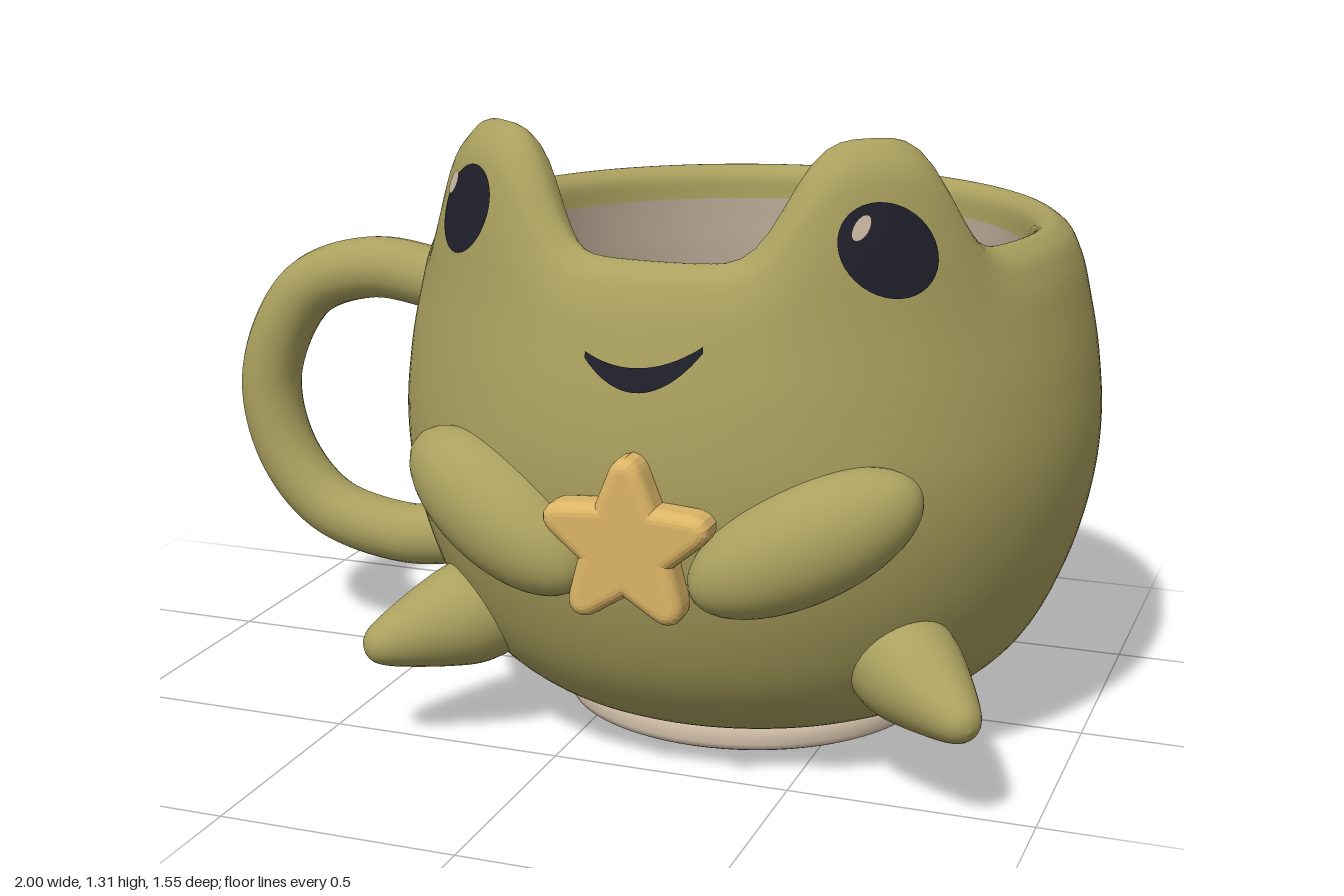
import * as THREE from 'three';

const CX = 0.25, CZ = -0.035;            // axis of the cup
const BUMP_ANGLE = 0.67, BUMP_H = 0.232; // eye bumps on the rim

const material = (name, color) => {
  const m = new THREE.MeshStandardMaterial({ color });
  m.name = name;
  return m;
};

// Height added to the rim at an angle measured from the front
function bumpHeight(theta) {
  const s = Math.abs(Math.abs(theta) - BUMP_ANGLE) * 0.62;
  return BUMP_H * Math.exp(-Math.pow(s / 0.185, 3.5));
}

// Profiles: radius, height, share of the bump height
const curve = (pts, n) =>
  new THREE.CatmullRomCurve3(pts.map(p => new THREE.Vector3(...p))).getPoints(n);
const outerRows = curve([
  [0.39, 0.05, 0], [0.5, 0.1, 0], [0.61, 0.2, 0], [0.69, 0.36, 0], [0.733, 0.52, 0],
  [0.745, 0.66, 0], [0.733, 0.8, 0], [0.71, 0.92, 0.15], [0.685, 1.01, 0.6],
  [0.655, 1.058, 0.9], [0.62, 1.075, 1], [0.592, 1.055, 0.95], [0.583, 1.0, 0.85]], 60);
const innerRows = curve([
  [0.583, 1.0, 0.85], [0.6, 0.9, 0.4], [0.63, 0.7, 0], [0.62, 0.5, 0], [0.56, 0.32, 0],
  [0.42, 0.2, 0], [0.2, 0.16, 0], [0.001, 0.155, 0]], 36);

// Radius and height of a profile row at an angle
function rowAt(row, theta) {
  const h = bumpHeight(theta);
  const thick = row.z * THREE.MathUtils.clamp((0.66 - row.x) / 0.07, 0, 1);
  return [row.x - 0.03 * thick * h / BUMP_H, row.y + h * row.z];
}

const polar = (r, y, theta) => [CX + r * Math.sin(theta), y, CZ + r * Math.cos(theta)];

// Closed surface around the axis from profile rows
function shell(rows, cols = 144) {
  const pos = [], idx = [];
  rows.forEach((row, i) => {
    for (let j = 0; j < cols; j++) {
      const theta = (j / cols) * Math.PI * 2 - Math.PI;
      pos.push(...polar(...rowAt(row, theta), theta));
      if (i === rows.length - 1) continue;
      const k = (j + 1) % cols, a = i * cols, b = a + cols;
      idx.push(a + j, a + k, b + k, a + j, b + k, b + j);
    }
  });
  const g = new THREE.BufferGeometry();
  g.setAttribute('position', new THREE.Float32BufferAttribute(pos, 3));
  g.setIndex(idx);
  g.computeVertexNormals();
  return g;
}

// Point just outside the outer wall
function onWall(theta, y, lift) {
  let prev = rowAt(outerRows[0], theta);
  for (const row of outerRows) {
    const cur = rowAt(row, theta);
    if (cur[1] >= y && cur[1] > prev[1]) {
      const t = (y - prev[1]) / (cur[1] - prev[1]);
      return polar(prev[0] + t * (cur[0] - prev[0]) + lift, y, theta);
    }
    prev = cur;
  }
  return polar(prev[0] + lift, y, theta);
}

// Lays a flat geometry on the wall; map turns (u, v) into [angle, height]
function decal(g, map, lift) {
  const p = g.attributes.position;
  for (let i = 0; i < p.count; i++) {
    const [theta, y] = map(p.getX(i), p.getY(i));
    p.setXYZ(i, ...onWall(theta, y, lift));
  }
  g.computeVertexNormals();
  return g;
}

// Five-pointed star with rounded tips
function starGeometry(R, r) {
  const at = (rad, i) => new THREE.Vector2(0, rad).rotateAround(new THREE.Vector2(), i * Math.PI / 5);
  const shape = new THREE.Shape();
  for (let i = 0; i < 10; i += 2) {
    const tip = at(R, i);
    const a = tip.clone().lerp(at(r, i - 1), 0.3), b = tip.clone().lerp(at(r, i + 1), 0.3);
    const inner = at(r, i + 1);
    if (i === 0) shape.moveTo(a.x, a.y); else shape.lineTo(a.x, a.y);
    shape.quadraticCurveTo(tip.x, tip.y, b.x, b.y);
    shape.lineTo(inner.x, inner.y);
  }
  shape.closePath();
  return new THREE.ExtrudeGeometry(shape, {
    depth: 0.035, bevelThickness: 0.025, bevelSize: 0.024, bevelSegments: 5, curveSegments: 8 });
}

export function createModel() {
  const model = new THREE.Group();
  const green = material('olive green glaze', 0xaaa05e);
  const cream = material('cream clay', 0xcdbba5);
  const gold = material('golden yellow', 0xdcb566);
  const dark = material('dark ink', 0x20202c);

  const add = (name, geometry, mat) => {
    const m = new THREE.Mesh(geometry, mat);
    m.name = name;
    model.add(m);
    return m;
  };

  // Cup
  add('cupBody', shell(outerRows), green);
  add('cupInterior', shell(innerRows), cream);
  const foot = [[0, 0], [0.385, 0], [0.397, 0.006], [0.402, 0.018], [0.402, 0.06], [0.3, 0.07]];
  add('footRing', new THREE.LatheGeometry(foot.map(p => new THREE.Vector2(...p)), 72), cream)
    .position.set(CX, 0, CZ);

  // Handle
  const path = [[-0.38, 0.84], [-0.5, 0.87], [-0.66, 0.886], [-0.83, 0.82], [-0.93, 0.62],
    [-0.9, 0.44], [-0.79, 0.31], [-0.6, 0.26], [-0.45, 0.275], [-0.34, 0.3]];
  const handlePath = new THREE.CatmullRomCurve3(path.map(([x, y]) => new THREE.Vector3(x, y, CZ)));
  add('handle', new THREE.TubeGeometry(handlePath, 72, 0.07, 20), green);

  // Limbs and eyes, mirrored about the cup axis
  const X = new THREE.Vector3(1, 0, 0), Y = new THREE.Vector3(0, 1, 0);
  const footProfile = [[0.1, -0.08], [0.11, 0], [0.108, 0.05], [0.092, 0.11], [0.068, 0.18],
    [0.045, 0.235], [0.025, 0.26], [0, 0.268]];
  const footCurve = new THREE.SplineCurve(footProfile.map(p => new THREE.Vector2(...p)));
  for (const side of [-1, 1]) {
    const label = side > 0 ? 'left' : 'right';

    const arm = add(label + 'Arm', new THREE.SphereGeometry(1, 36, 24), green);
    arm.scale.set(0.24, 0.115, 0.105);
    arm.position.set(CX + side * 0.315, 0.565, 0.63);
    arm.quaternion.setFromUnitVectors(X, new THREE.Vector3(0.37, side * 0.19, -side * 0.14).normalize());

    const leg = add(label + 'Foot', new THREE.LatheGeometry(footCurve.getPoints(24), 32), green);
    leg.position.set(CX + side * 0.45, 0.272, 0.41);
    leg.quaternion.setFromUnitVectors(Y, new THREE.Vector3(side * 0.18, -0.055, 0.18).normalize());

    const eyeTheta = side * 0.672, eyeY = side > 0 ? 1.11 : 1.137;
    const halfWidth = side > 0 ? 0.098 : 0.085;
    add(label + 'Eye', decal(new THREE.RingGeometry(0.001, 1, 40, 6),
      (u, v) => [eyeTheta + (halfWidth * u - side * 0.02 * v) / 0.68, eyeY + 0.09 * v], 0.006), dark);
    add(label + 'EyeGlint', decal(new THREE.RingGeometry(0.001, 1, 16, 2),
      (u, v) => [eyeTheta + (0.017 * u + 0.01 * v - 0.055) / 0.68, eyeY + 0.045 + 0.024 * v], 0.01), cream);
  }

  // Smile
  add('mouth', decal(new THREE.PlaneGeometry(1, 1, 32, 4), (u, v) => {
    const thickness = 0.012 + 0.034 * (1 - Math.pow(2 * u, 2));
    return [(0.007 + 0.235 * u) / 0.72, 0.868 + 0.025 * u + 0.2 * u * u + thickness * v];
  }, 0.006), dark);

  // Star held between the arms
  add('star', starGeometry(0.165, 0.072), gold).position.set(CX, 0.56, 0.714);

  return model;
}
